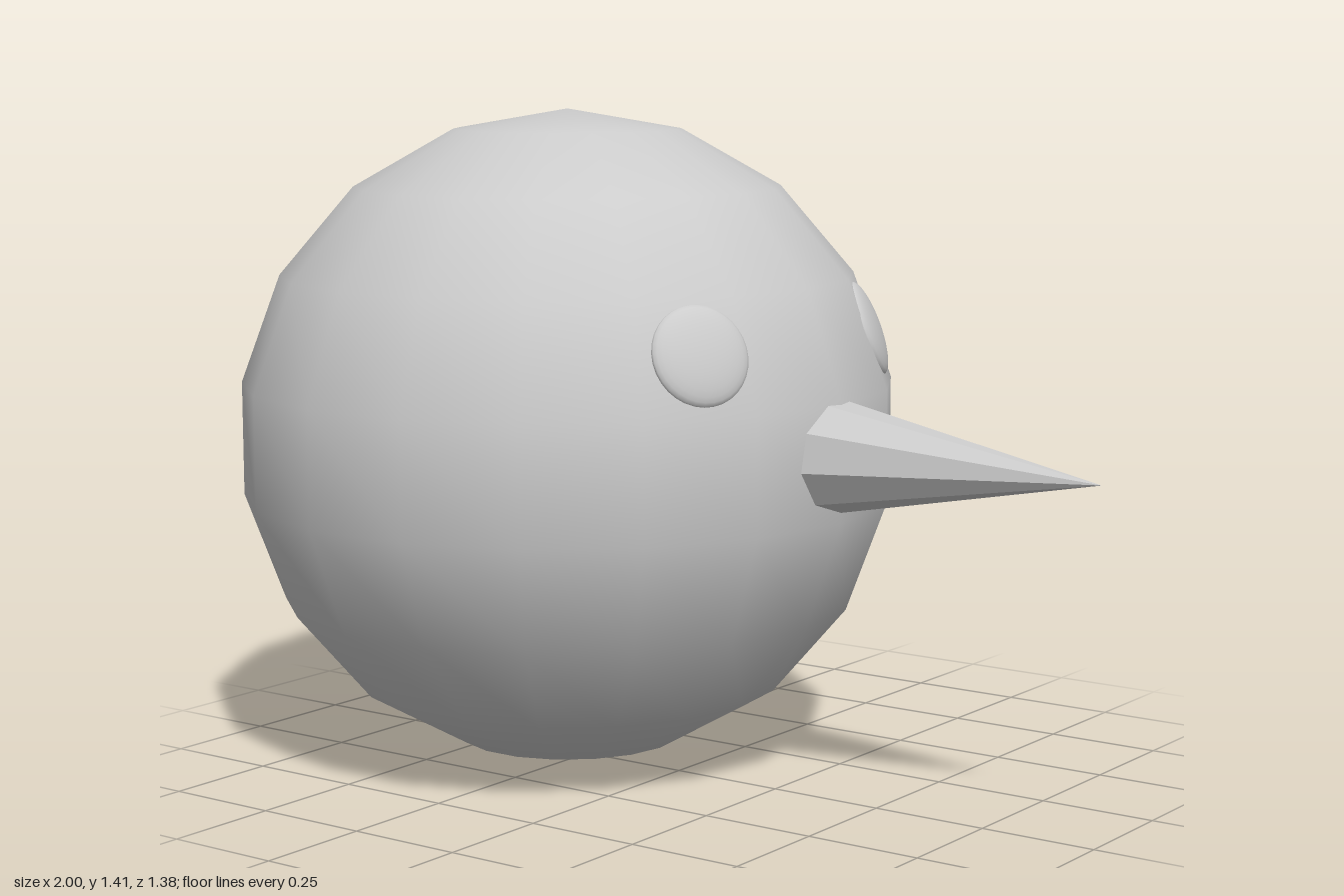
import * as THREE from 'three';

const material = () => new THREE.MeshStandardMaterial({ color: 0xcccccc });

export function createModel() {
  const model = new THREE.Group();
  model.name = 'snowmanHead';
  const centre = new THREE.Vector3(-0.295, 0.705, 0);

  // Round head, coarse but smooth shaded
  const headGeometry = new THREE.SphereGeometry(1, 18, 9).scale(0.714, 0.705, 0.714);
  const head = new THREE.Mesh(headGeometry, material());
  head.name = 'head';
  head.position.copy(centre);
  model.add(head);

  // Nine-sided carrot nose along +x, its base sunk into the head
  const noseMaterial = material();
  noseMaterial.flatShading = true;
  const baseX = 0.36, tipX = 1;
  const noseGeometry = new THREE.ConeGeometry(0.124, tipX - baseX, 9);
  noseGeometry.rotateY(Math.PI / 2).rotateZ(-Math.PI / 2);
  const nose = new THREE.Mesh(noseGeometry, noseMaterial);
  nose.name = 'nose';
  nose.position.set((baseX + tipX) / 2, 0.72, 0);
  model.add(nose);

  // Flattened button eyes lying on the head's surface
  for (const side of [1, -1]) {
    const outward = new THREE.Vector3(0.575, 0.245, 0.31 * side).normalize();
    const eye = new THREE.Mesh(new THREE.SphereGeometry(0.105, 32, 16), material());
    eye.name = side > 0 ? 'frontEye' : 'backEye';
    eye.scale.y = 0.26;
    eye.quaternion.setFromUnitVectors(new THREE.Vector3(0, 1, 0), outward);
    eye.position.copy(centre).addScaledVector(outward, 0.69);
    model.add(eye);
  }
  return model;
}
